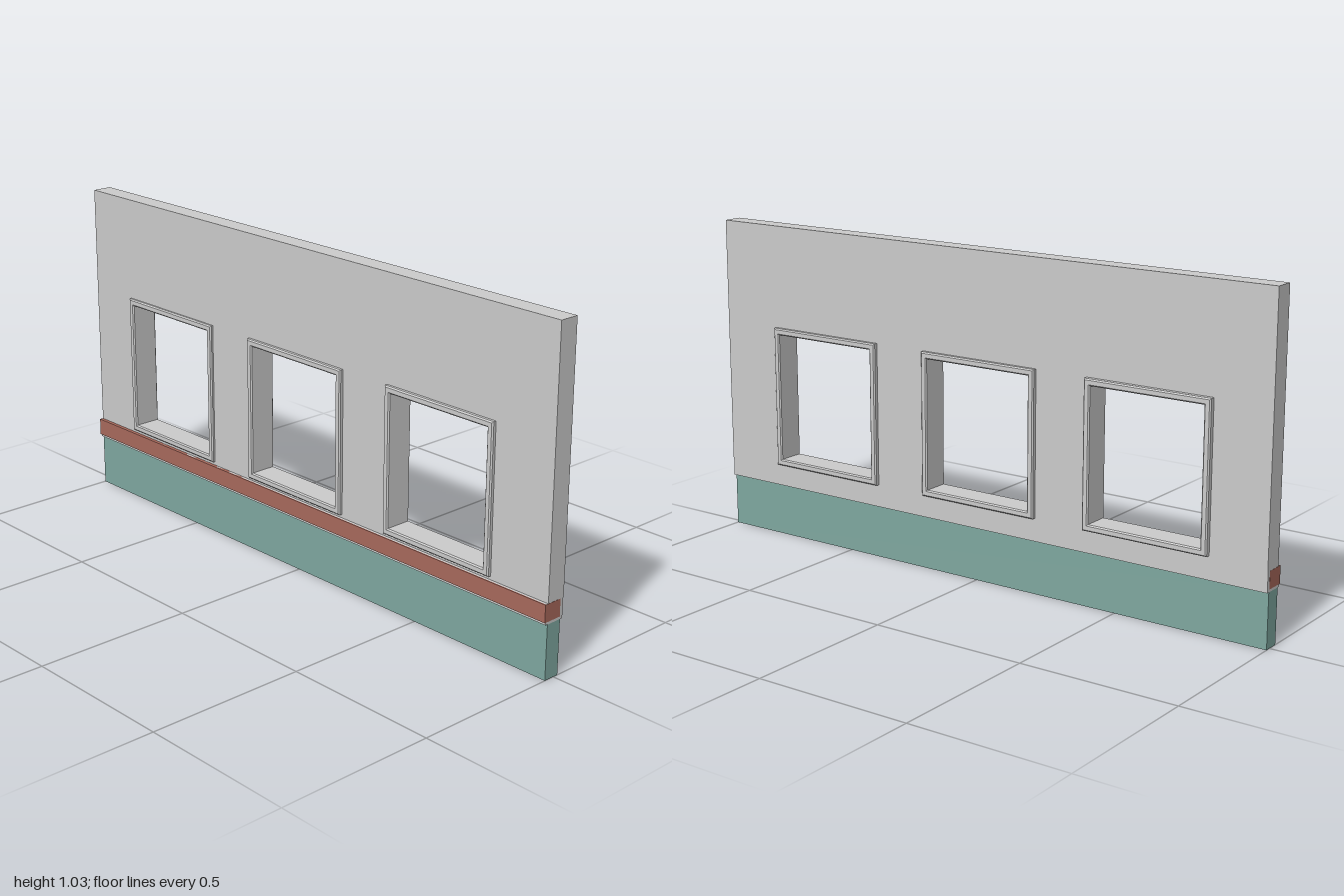
import * as THREE from 'three';

const material = (color) => new THREE.MeshStandardMaterial({ color, flatShading: true });

// Rectangle in the wall's plane: z range and y range
function rect(PathType, z0, z1, y0, y1) {
  const p = new PathType();
  p.moveTo(-z1, y0);
  p.lineTo(-z0, y0);
  p.lineTo(-z0, y1);
  p.lineTo(-z1, y1);
  p.closePath();
  return p;
}

// Extrudes a pierced rectangle through the wall's thickness, x0 to x1
function slab(shape, x0, x1, bevel = 0) {
  const geometry = new THREE.ExtrudeGeometry(shape, {
    depth: x1 - x0 - 2 * bevel,
    bevelEnabled: bevel > 0,
    bevelSize: bevel,
    bevelThickness: bevel,
    bevelOffset: -bevel,
    bevelSegments: 1,
  });
  geometry.rotateY(Math.PI / 2);
  geometry.translate(x0 + bevel, 0, 0);
  return geometry;
}

export function createModel() {
  const group = new THREE.Group();
  const grey = material(0xcccccc);

  const add = (name, geometry, mat) => {
    const mesh = new THREE.Mesh(geometry, mat);
    mesh.name = name;
    group.add(mesh);
  };
  const addBar = (name, x0, x1, y0, y1, length, mat) => {
    const geometry = new THREE.BoxGeometry(x1 - x0, y1 - y0, length);
    geometry.translate((x0 + x1) / 2, (y0 + y1) / 2, 0);
    add(name, geometry, mat);
  };

  // Window centres along z, with the small sideways offset of each frame
  const windows = [
    { z: 0.582, x: -0.002 },
    { z: -0.016, x: -0.002 },
    { z: -0.608, x: 0.001 },
  ];
  const halfWidth = 0.208, bottom = 0.243, top = 0.7, border = 0.021;

  // Wall panel with three openings
  const wall = rect(THREE.Shape, -1, 1, 0.232, 1.03);
  for (const { z } of windows) {
    const h = halfWidth - 0.01;
    wall.holes.push(rect(THREE.Path, z - h, z + h, bottom + 0.01, top - 0.01));
  }
  add('wall', slab(wall, -0.035, 0.028), grey);

  // Chamfered window frames, projecting on both faces
  windows.forEach(({ z, x }, i) => {
    const frame = rect(THREE.Shape, z - halfWidth, z + halfWidth, bottom, top);
    const h = halfWidth - border;
    frame.holes.push(rect(THREE.Path, z - h, z + h, bottom + border, top - border));
    add(`windowFrame${i + 1}`, slab(frame, x - 0.046, x + 0.045, 0.004), grey);
  });

  // Ledge under the wall, trim strip on its outer side, and plinth
  addBar('ledge', -0.043, 0.026, 0.17, 0.232, 2, grey);
  addBar('trimStrip', -0.047, 0.015, 0.178, 0.232, 2.001, material(0xa8695c));
  addBar('plinth', -0.035, 0.017, 0, 0.17, 2, material(0x7fa8a0));

  return group;
}
